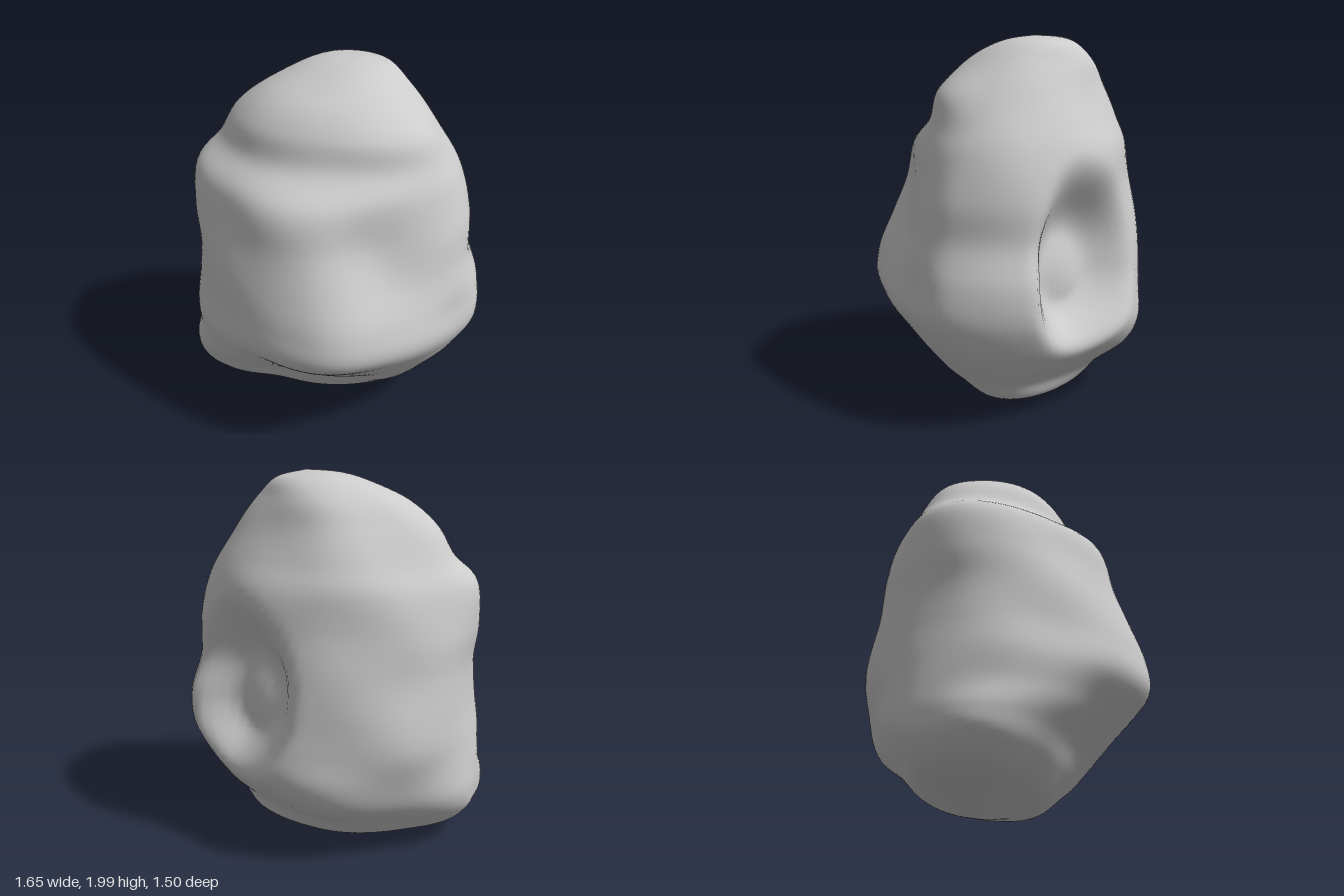
import * as THREE from 'three';
import { mergeVertices } from 'three/addons/utils/BufferGeometryUtils.js';

// Levels of the boulder: y, x min, x max, z back, z front,
// then fullness of the corners: front +x, front -x, back -x, back +x
const LEVELS = [
  [0.00, 0.00, 0.00, -0.13, -0.13, 1, 1, 1, 1],
  [0.04, -0.26, 0.19, -0.32, 0.05, 1, 1, 1, 1],
  [0.09, -0.65, 0.42, -0.43, 0.20, 0.95, 1.12, 0.92, 1],
  [0.20, -0.80, 0.53, -0.53, 0.30, 1, 1.17, 0.9, 0.92],
  [0.32, -0.83, 0.64, -0.67, 0.39, 1, 1.16, 0.9, 0.9],
  [0.46, -0.825, 0.74, -0.745, 0.56, 0.97, 1.05, 0.94, 0.93],
  [0.62, -0.81, 0.81, -0.745, 0.72, 0.91, 0.98, 1.03, 1.0],
  [0.80, -0.785, 0.80, -0.725, 0.715, 0.88, 0.96, 1.06, 1.04],
  [1.00, -0.775, 0.74, -0.69, 0.67, 0.86, 0.97, 1.05, 1.05],
  [1.20, -0.80, 0.73, -0.66, 0.61, 0.87, 0.95, 1.02, 1.04],
  [1.42, -0.785, 0.67, -0.64, 0.55, 0.92, 0.93, 0.96, 1.02],
  [1.56, -0.67, 0.60, -0.585, 0.38, 1.03, 0.98, 0.93, 1],
  [1.72, -0.57, 0.50, -0.52, 0.32, 1.09, 1, 0.9, 0.98],
  [1.86, -0.39, 0.37, -0.47, 0.20, 1.02, 1, 0.92, 0.96],
  [1.965, -0.14, 0.25, -0.37, -0.02, 1, 1, 1, 1],
  [2.00, 0.10, 0.10, -0.20, -0.20, 1, 1, 1, 1],
];

// Local swellings (+) and hollows (-): centre, radius, push
const LUMPS = [
  [[0.20, 0.76, 0.66], 0.2, 0.035],
  [[0.30, 1.18, 0.52], 0.22, -0.04],
  [[-0.28, 0.56, 0.60], 0.18, -0.03],
  [[-0.62, 0.20, 0.20], 0.16, 0.02],
  [[-0.32, 0.06, 0.18], 0.12, -0.03],
  [[0.38, 0.28, 0.26], 0.16, 0.03],
  [[0.72, 0.72, 0.20], 0.14, -0.03],
];

const smooth = (t) => t * t * (3 - 2 * t);

// Catmull-Rom blend of the level rows
function levelAt(t) {
  const n = LEVELS.length - 1;
  const i = Math.min(Math.floor(t * n), n - 1);
  const f = t * n - i;
  const row = (k) => LEVELS[Math.max(0, Math.min(n, k))];
  return LEVELS[i].map((b, k) => {
    const a = row(i - 1)[k], c = row(i + 1)[k], d = row(i + 2)[k];
    return b + 0.5 * f * (c - a + f * (2 * a - 5 * b + 4 * c - d + f * (3 * (b - c) + d - a)));
  });
}

function sculpt(p) {
  const out = new THREE.Vector3(p.x, (p.y - 0.9) * 0.6, p.z).normalize();
  // Gentle weathering
  let push = 0.012 * Math.sin(8 * p.x) * Math.sin(9 * p.y + 2) * Math.sin(8 * p.z + 0.5);
  for (const [c, r, amount] of LUMPS) {
    const d = p.distanceTo(new THREE.Vector3(...c)) / r;
    push += amount * Math.exp(-d * d);
  }
  p.addScaledVector(out, push);

  // Scooped hollow on the back +x corner, deepest low down beside its +x rim
  const facing = p.x * 0.47 - p.z * 0.88;
  if (facing > 0.2) {
    const u = p.x * 0.88 + p.z * 0.47 - 0.08;
    const v = p.y - 0.78;
    const d = Math.hypot(u / (u > 0 ? 0.35 : 0.46), v / (v > 0 ? 0.66 : 0.4));
    if (d < 1) {
      const depth = 0.25 * smooth(Math.min(1, (1 - d) * 1.45));
      p.x -= 0.47 * depth;
      p.z += 0.88 * depth;
    }
  }
  return p;
}

function boulderGeometry(rows = 96, cols = 112) {
  const pos = [], index = [];
  for (let j = 0; j <= rows; j++) {
    const [y, x0, x1, z0, z1, ...corner] = levelAt(j / rows);
    for (let i = 0; i < cols; i++) {
      const a = (i / cols) * Math.PI * 2;
      const k = 1 + (corner[Math.floor((4 * i) / cols)] - 1) * Math.sin(2 * a) ** 2;
      const p = sculpt(new THREE.Vector3(
        (x0 + x1) / 2 + ((x1 - x0) / 2) * k * Math.cos(a),
        y,
        (z0 + z1) / 2 + ((z1 - z0) / 2) * k * Math.sin(a)));
      pos.push(p.x, p.y, p.z);
      if (j < rows) {
        const b = j * cols + i, c = j * cols + ((i + 1) % cols);
        index.push(b, b + cols, c, c, b + cols, c + cols);
      }
    }
  }
  let geo = new THREE.BufferGeometry();
  geo.setAttribute('position', new THREE.Float32BufferAttribute(pos, 3));
  geo.setIndex(index);
  geo = mergeVertices(geo, 1e-4);

  // Stand on the ground, centred
  geo.computeBoundingBox();
  const mid = geo.boundingBox.getCenter(new THREE.Vector3());
  geo.translate(-mid.x, -geo.boundingBox.min.y, -mid.z);
  geo.computeVertexNormals();
  return geo;
}

export function createModel() {
  const group = new THREE.Group();
  group.name = 'rock';
  const boulder = new THREE.Mesh(boulderGeometry(), new THREE.MeshStandardMaterial({ color: 0xcccccc }));
  boulder.name = 'boulder';
  group.add(boulder);
  return group;
}
